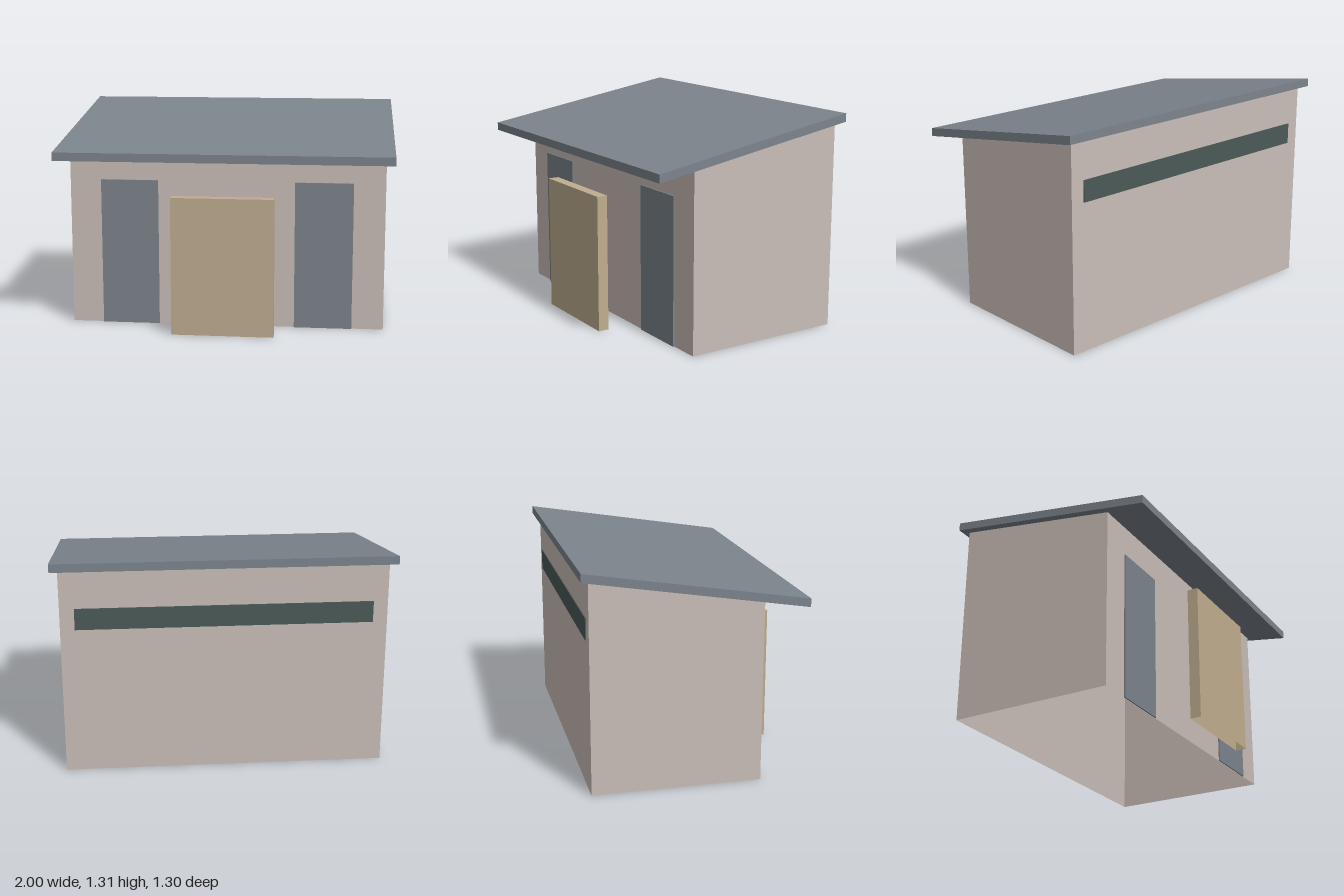
import * as THREE from 'three';

const flat = (name, color, side = THREE.FrontSide) => {
  const m = new THREE.MeshStandardMaterial({ color, side });
  m.name = name;
  return m;
};

export function createModel() {
  const group = new THREE.Group();
  const wallMat = flat('warm grey wall', 0xcabeb8, THREE.DoubleSide);
  const slateMat = flat('slate grey', 0x7c848c);
  const woodMat = flat('tan timber', 0xc0ae8f, THREE.DoubleSide);
  const glassMat = flat('dark green glass', 0x4a5a57);

  const add = (name, geometry, material) => {
    const mesh = new THREE.Mesh(geometry, material);
    mesh.name = name;
    group.add(mesh);
    return mesh;
  };

  // Box given by its limits; faces listed in skip (0 +x, 1 -x, 2 +y, 3 -y, 4 +z, 5 -z) are left open
  const box = (x0, x1, y0, y1, z0, z1, skip = []) => {
    const g = new THREE.BoxGeometry(x1 - x0, y1 - y0, z1 - z0);
    g.translate((x0 + x1) / 2, (y0 + y1) / 2, (z0 + z1) / 2);
    const index = Array.from(g.index.array);
    g.setIndex(index.filter((_, i) => !skip.includes(Math.floor(i / 6))));
    g.clearGroups();
    return g;
  };

  // Raise vertices above minY along the roof pitch
  const pitch = (g, minY) => {
    const p = g.attributes.position;
    for (let i = 0; i < p.count; i++) {
      if (p.getY(i) > minY) p.setY(i, p.getY(i) - 0.1654 * p.getZ(i));
    }
    g.computeVertexNormals();
    return g;
  };

  // Four walls, open below and closed above by the roof
  add('walls', pitch(box(-0.955, 0.955, 0, 1.1475, -0.605, 0.395, [2, 3]), 0.5), wallMat);

  // Single-pitch roof slab with upright edges
  add('roof', pitch(box(-1, 1, 1.1475, 1.1975, -0.65, 0.65), 0), slateMat);

  // Pair of door panels on the front wall
  for (const [name, s] of [['leftDoor', 1], ['rightDoor', -1]]) {
    const cx = 0.59 * s;
    add(name, box(cx - 0.175, cx + 0.175, 0, 0.895, 0.396, 0.404), slateMat);
  }

  // Free-standing screen in front, open below
  add('screen', box(-0.305, 0.305, 0, 0.83, 0.567, 0.633, [3]), woodMat);

  // Long high window on the back wall
  add('backWindow', box(-0.87, 0.87, 0.895, 1.023, -0.611, -0.604), glassMat);

  return group;
}
